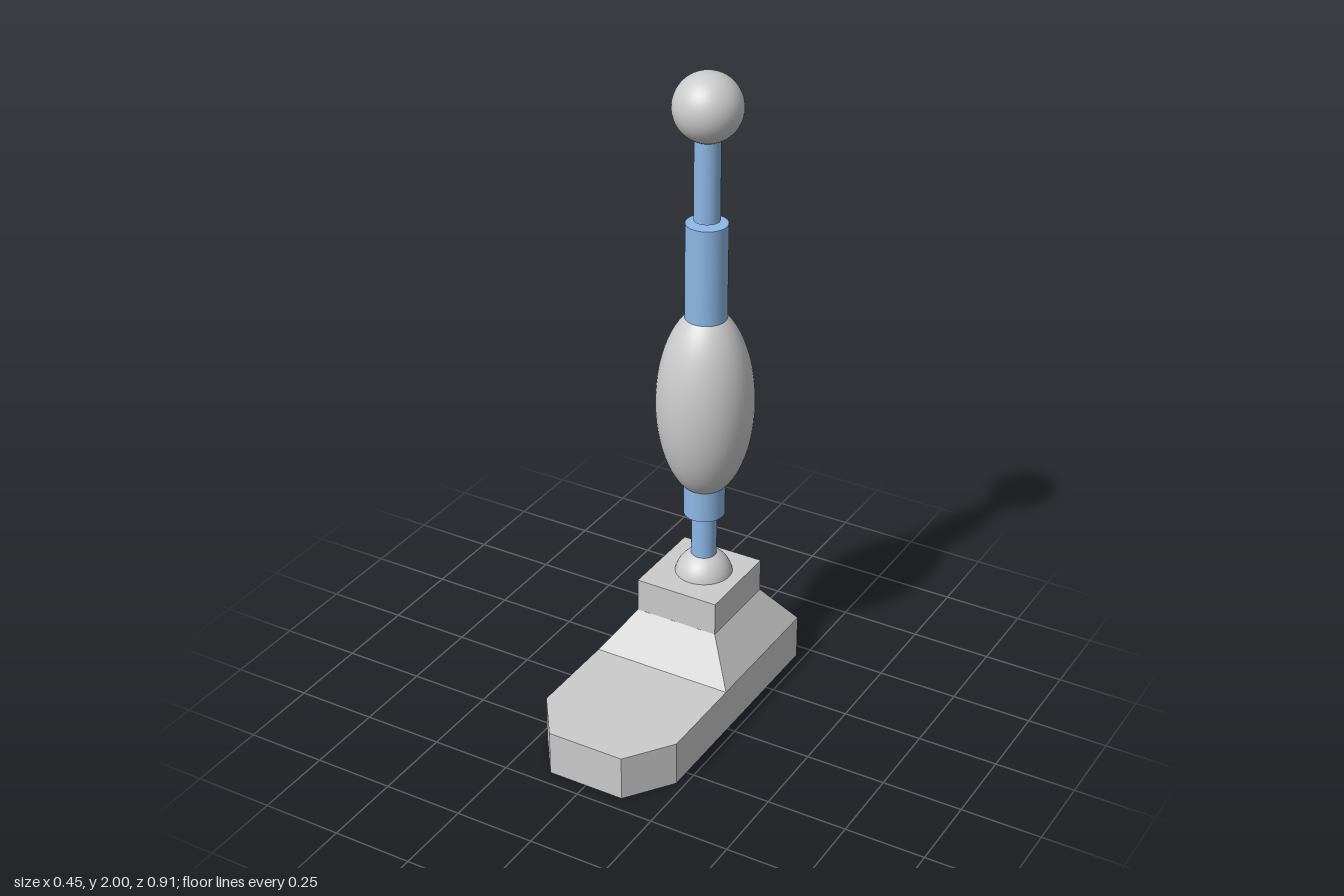
import * as THREE from 'three';

const AXIS_X = 0.008, AXIS_Z = -0.232;

export function createModel() {
  const model = new THREE.Group();
  const grey = new THREE.MeshStandardMaterial({ color: 0xcccccc });
  const blue = new THREE.MeshStandardMaterial({ color: 0x8db8e6 });

  const add = (name, geometry, material, x = 0, y = 0, z = 0) => {
    const mesh = new THREE.Mesh(geometry, material);
    mesh.name = name;
    mesh.position.set(x, y, z);
    model.add(mesh);
    return mesh;
  };
  // Cylinder on the leg axis between two heights
  const post = (name, radius, y0, y1) => add(name,
    new THREE.CylinderGeometry(radius, radius, y1 - y0, 48), blue, AXIS_X, (y0 + y1) / 2, AXIS_Z);
  // Sphere on the leg axis, stretched vertically
  const ball = (name, radius, y, stretch = 1) => add(name,
    new THREE.SphereGeometry(radius, 48, 32).scale(1, stretch, 1), grey, AXIS_X, y, AXIS_Z);

  // Sole with clipped toe corners
  const outline = [[-0.225, 0.453], [0.225, 0.453], [0.225, -0.31],
    [0.123, -0.453], [-0.123, -0.453], [-0.225, -0.31]];
  const sole = new THREE.Shape(outline.map(([x, y]) => new THREE.Vector2(x, y)));
  add('sole', new THREE.ExtrudeGeometry(sole, { depth: 0.143, bevelEnabled: false })
    .rotateX(-Math.PI / 2), grey);

  // Tapered heel: the top of a box drawn in to the ankle block
  const heel = new THREE.BoxGeometry(0.45, 0.127, 0.465);
  const p = heel.attributes.position;
  for (let i = 0; i < p.count; i++) {
    if (p.getY(i) > 0) {
      p.setX(i, p.getX(i) * 0.6);
      p.setZ(i, p.getZ(i) * 0.62);
    }
  }
  heel.computeVertexNormals();
  add('heel', heel, grey, 0, 0.2065, -0.2205);
  add('ankleBlock', new THREE.BoxGeometry(0.27, 0.107, 0.288), grey, 0, 0.3235, -0.2205);

  // Ankle joint and lower leg
  ball('ankleJoint', 0.09, 0.36);
  post('ankleRod', 0.039, 0.4, 0.587);

  // Leg sleeve running through the calf
  post('legSleeve', 0.063, 0.585, 1.545);
  ball('calf', 0.148, 0.965, 2.1);

  // Upper rod, held just clear of the sleeve, and knee
  post('kneeRod', 0.039, 1.555, 1.84);
  ball('kneeJoint', 0.103, 1.897);

  return model;
}
